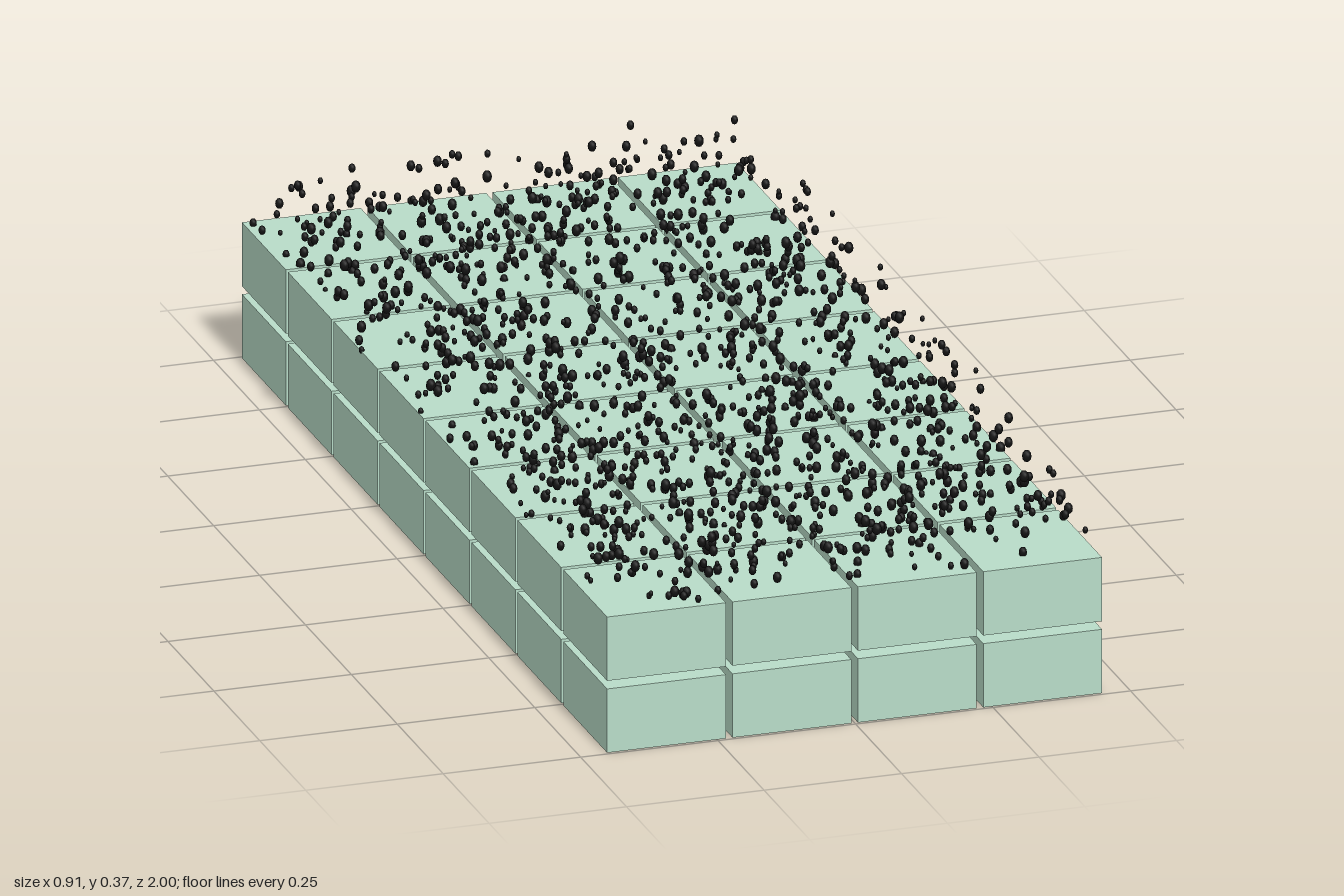
import * as THREE from 'three';
import { mergeGeometries } from 'three/addons/utils/BufferGeometryUtils.js';

// Small seeded generator for the scattered grains
function seeded(seed) {
  return () => {
    seed = (seed * 1664525 + 1013904223) % 4294967296;
    return seed / 4294967296;
  };
}

// 4 x 2 x 8 stack of blocks with narrow joints
function makeBlocks() {
  const group = new THREE.Group();
  group.name = 'blocks';
  const material = new THREE.MeshStandardMaterial({ color: 0xb8dcc8 });
  const count = [4, 2, 8];
  const size = [0.216, 0.118, 0.239];
  const pitch = [0.228, 0.133, 0.25];
  const geometry = new THREE.BoxGeometry(...size);
  for (let i = 0; i < count[0]; i++)
    for (let j = 0; j < count[1]; j++)
      for (let k = 0; k < count[2]; k++) {
        const block = new THREE.Mesh(geometry, material);
        block.name = 'block';
        block.position.set(
          (i - (count[0] - 1) / 2) * pitch[0],
          size[1] / 2 + j * pitch[1],
          (k - (count[2] - 1) / 2) * pitch[2]
        );
        group.add(block);
      }
  return group;
}

// Loose layer of small, slightly tall grains floating over the blocks
function makeGrains() {
  const random = seeded(7);
  const between = (a, b) => a + (b - a) * random();
  const base = new THREE.IcosahedronGeometry(1, 1);
  const grains = [];
  for (let n = 0; n < 1600; n++) {
    const r = between(0.004, 0.0085);
    grains.push(base.clone()
      .scale(r, r * 1.35, r)
      .translate(between(-0.449, 0.449), between(0.252, 0.355), between(-0.991, 0.991)));
  }
  const mesh = new THREE.Mesh(
    mergeGeometries(grains),
    new THREE.MeshStandardMaterial({ color: 0x111111 })
  );
  mesh.name = 'grains';
  return mesh;
}

export function createModel() {
  const model = new THREE.Group();
  model.name = 'blockBed';
  model.add(makeBlocks(), makeGrains());
  return model;
}
